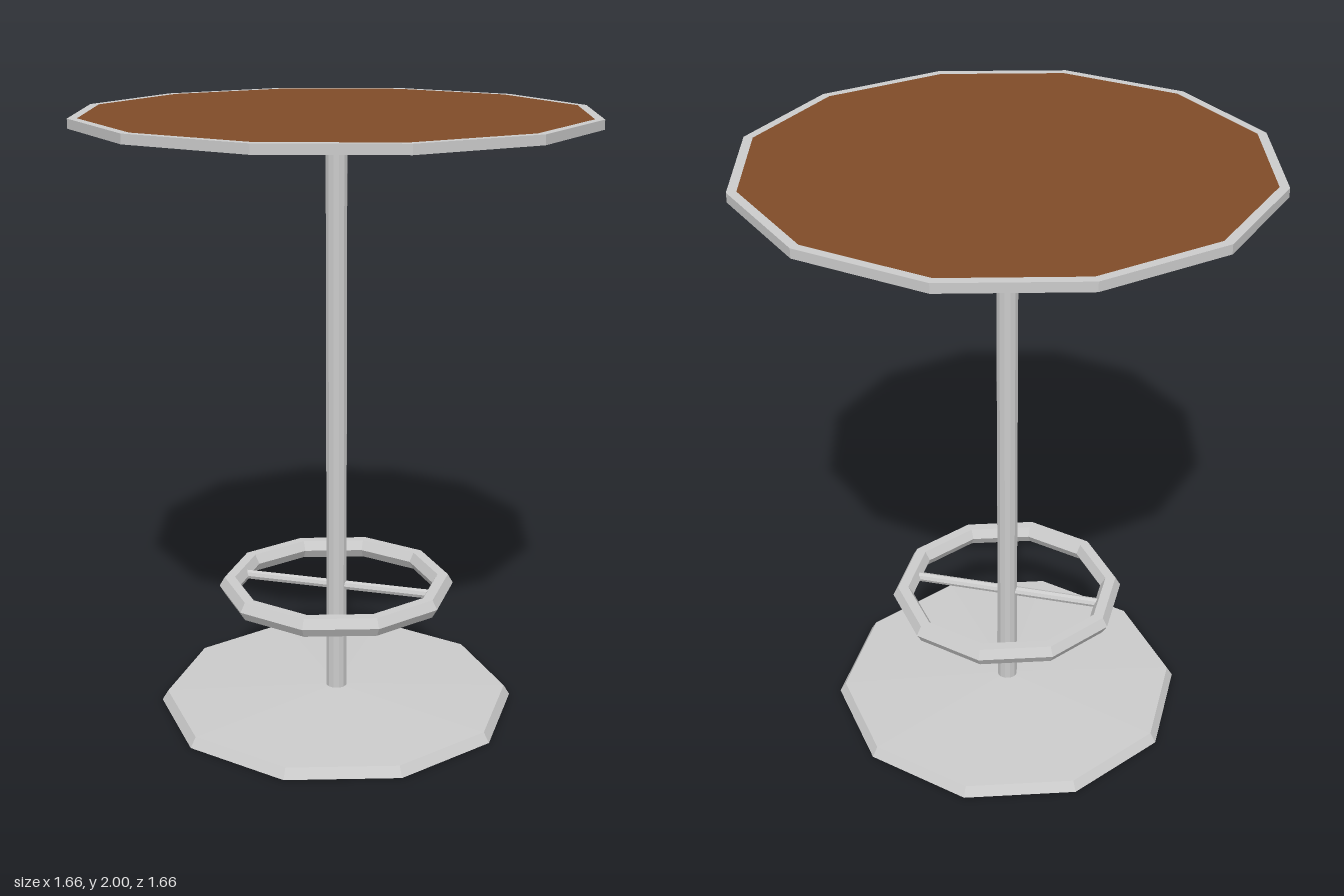
import * as THREE from 'three';

const metal = new THREE.MeshStandardMaterial({ color: 0xcccccc, flatShading: true });
const tube = new THREE.MeshStandardMaterial({ color: 0xcccccc, flatShading: true, side: THREE.DoubleSide });
const wood = new THREE.MeshStandardMaterial({ color: 0x804c28, flatShading: true });

export function createModel() {
  const model = new THREE.Group();
  const add = (name, geometry, material = metal) => {
    const mesh = new THREE.Mesh(geometry, material);
    mesh.name = name;
    model.add(mesh);
    return mesh;
  };
  // Faceted turned part from [radius, height] pairs, listed bottom to top on the outside
  const turned = (points, sides) =>
    new THREE.LatheGeometry(points.map(([r, y]) => new THREE.Vector2(r, y)), sides);

  // Ten-sided foot plate with a bevelled edge and a hole for the pole
  add('base', turned([[0.033, 0], [0.6, 0], [0.58, 0.033], [0.033, 0.05]], 10));

  // Open-ended pole
  add('pole', new THREE.CylinderGeometry(0.035, 0.035, 1.95, 12, 1, true), tube).position.y = 0.975;

  // Foot ring with its cross bar
  add('footRing', new THREE.TorusGeometry(0.36, 0.035, 6, 10).rotateX(Math.PI / 2).rotateY(Math.PI / 2))
    .position.y = 0.42;
  add('footRingBar', new THREE.CylinderGeometry(0.016, 0.016, 0.68, 8).rotateZ(Math.PI / 2))
    .position.y = 0.42;

  // Shallow cone that carries the top
  add('topSupport', turned([[0.033, 1.905], [0.56, 1.957], [0.56, 1.972]], 10));

  // Twelve-sided top: metal rim and underside around a flush wooden panel
  add('tabletopRim', turned([[0, 1.97], [0.83, 1.97], [0.83, 2], [0.8, 2]], 12));
  add('tabletopPanel', new THREE.CircleGeometry(0.8, 12).rotateX(-Math.PI / 2), wood).position.y = 2;

  return model;
}
